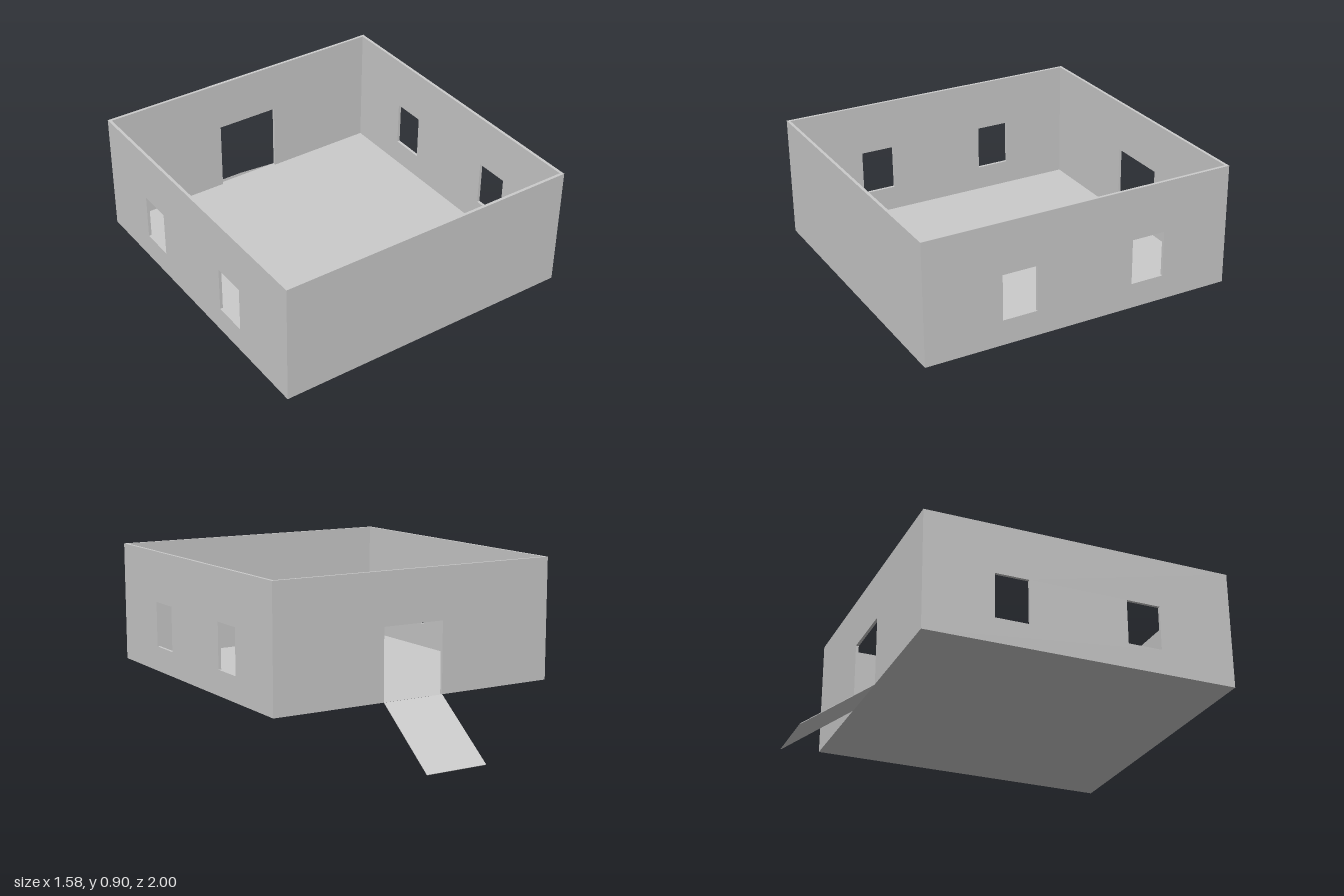
import * as THREE from 'three';

const X = 0.79, BACK = -0.638, FRONT = 1, FLOOR = 0.27, TOP = 0.9, T = 0.015;
const OPEN_TOP = 0.635;
const DOOR = [-0.148, 0.19];
const WINDOWS = [[0.42, 0.6], [-0.275, -0.098]];
const SILL = 0.4;

export function createModel() {
  const model = new THREE.Group();
  const material = new THREE.MeshStandardMaterial({ color: 0xcccccc, side: THREE.DoubleSide });
  const add = (name, geometry) => {
    const mesh = new THREE.Mesh(geometry, material);
    mesh.name = name;
    model.add(mesh);
    return mesh;
  };
  const polygon = (points) => points.map(([a, b]) => new THREE.Vector2(a, b));
  const rect = (a0, a1, b0, b1) => polygon([[a0, b0], [a1, b0], [a1, b1], [a0, b1]]);
  const wall = (outline, holes = []) => {
    const shape = new THREE.Shape(outline);
    holes.forEach((h) => shape.holes.push(new THREE.Path(h)));
    return new THREE.ExtrudeGeometry(shape, { depth: T, bevelEnabled: false });
  };

  // Side walls, each with two windows
  for (const [name, x] of [['leftWall', X], ['rightWall', -X + T]]) {
    const windows = WINDOWS.map(([z0, z1]) => rect(z0, z1, SILL, OPEN_TOP));
    const geometry = wall(rect(BACK, FRONT, FLOOR, TOP), windows);
    add(name, geometry.rotateY(-Math.PI / 2).translate(x, 0, 0));
  }

  // Plain front wall
  const inner = X - T;
  add('frontWall', wall(rect(-inner, inner, FLOOR, TOP)).translate(0, 0, FRONT - T));

  // Back wall with a doorway cut down to the floor
  const doorOutline = polygon([
    [-inner, FLOOR], [DOOR[0], FLOOR], [DOOR[0], OPEN_TOP], [DOOR[1], OPEN_TOP],
    [DOOR[1], FLOOR], [inner, FLOOR], [inner, TOP], [-inner, TOP],
  ]);
  add('backWall', wall(doorOutline).translate(0, 0, BACK));

  // Thin floor under the whole building
  const floor = add('floor', new THREE.PlaneGeometry(2 * X, FRONT - BACK).rotateX(-Math.PI / 2));
  floor.position.set(0, FLOOR, (FRONT + BACK) / 2);

  // Thin ramp from the ground up to the doorway
  const run = BACK + 1, thickness = 0.003;
  const ramp = add('ramp', new THREE.BoxGeometry(DOOR[1] - DOOR[0], thickness, Math.hypot(run, FLOOR) - thickness));
  ramp.position.set((DOOR[0] + DOOR[1]) / 2, FLOOR / 2, (BACK - 1) / 2);
  ramp.rotation.x = -Math.atan2(FLOOR, run);

  return model;
}
